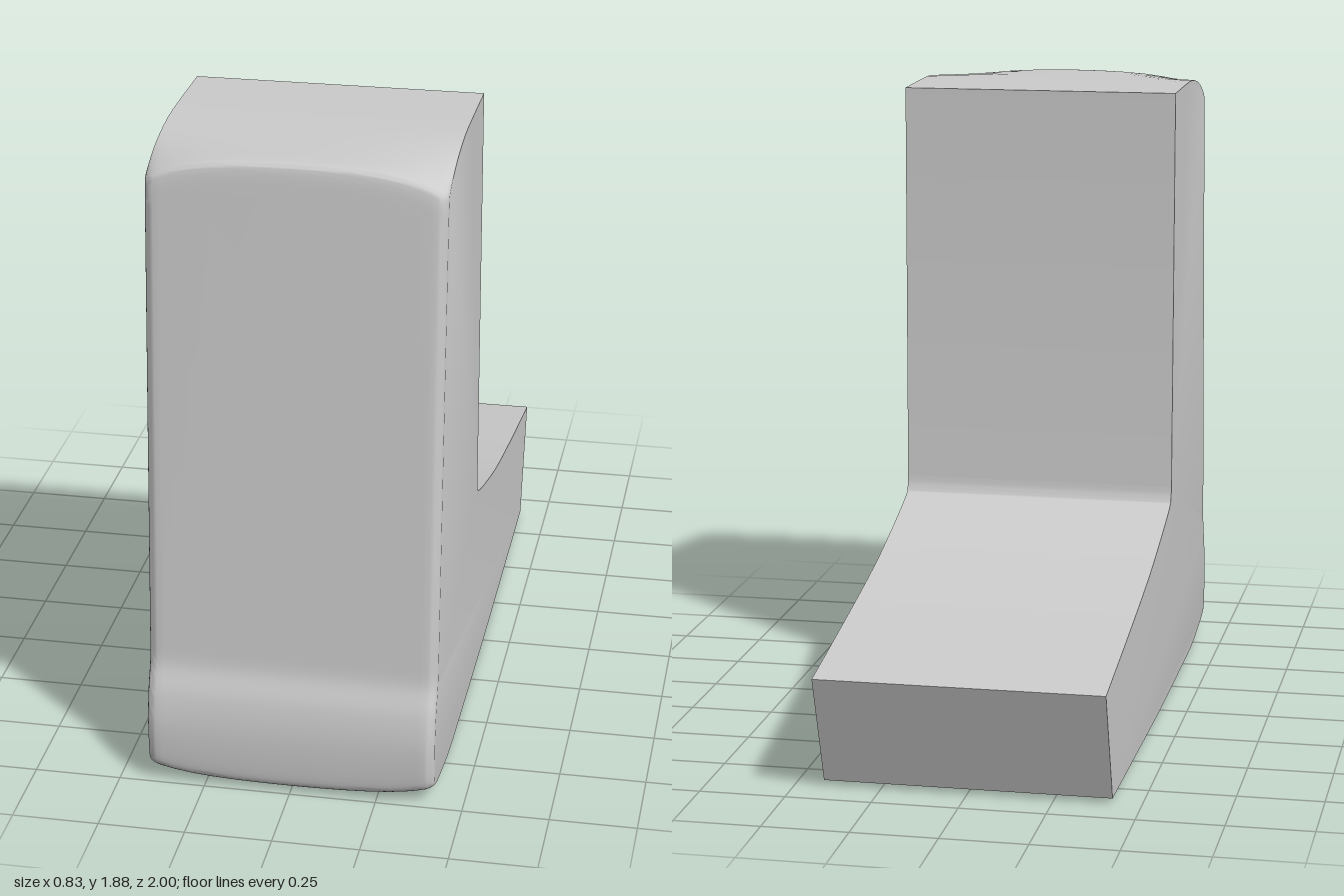
import * as THREE from 'three';
import { toCreasedNormals } from 'three/addons/utils/BufferGeometryUtils.js';

const V = (z, y) => new THREE.Vector2(z, y);

// Side outline in (z, y), counter-clockwise from the lower tip of the tail
function sideOutline() {
  const path = new THREE.Path();
  path.moveTo(-0.88, 0.015);
  path.splineThru([V(-0.4, 0.006), V(0, 0), V(0.4, 0.003), V(0.7, 0.007), V(0.95, 0.011)]);
  path.splineThru([V(0.985, 0.02), V(0.998, 0.06), V(1, 0.18), V(0.985, 0.28), V(0.956, 0.36), V(0.948, 0.43)]);
  path.lineTo(0.869, 1.78);
  path.splineThru([V(0.864, 1.84), V(0.855, 1.867), V(0.825, 1.873)]);
  path.splineThru([V(0.5, 1.878), V(0.2, 1.874)]);
  path.lineTo(0.194, 0.66);
  path.splineThru([V(0.187, 0.625), V(0.16, 0.6), V(0, 0.55), V(-0.25, 0.485), V(-0.6, 0.418), V(-1, 0.35)]);
  path.lineTo(-0.88, 0.015);
  const points = path.getPoints(4);
  points.pop();
  return points;
}

// Front corners curve in: the top dips, the sole rises and the front edge rounds off
function shapePoint(p, x) {
  const s = Math.min(1, Math.abs(x) / 0.417);
  const edge = Math.max(0, (s - 0.93) / 0.07);
  const bow = 0.4 * s ** 2 + 0.6 * s ** 5;
  const ramp = THREE.MathUtils.clamp((p.x - 0.5) / 0.36, 0, 1) ** 2;
  const heel = THREE.MathUtils.clamp((p.x - 0.6) / 0.38, 0, 1) ** 2;
  const high = THREE.MathUtils.smoothstep(p.y, 1.4, 1.87);
  const low = 1 - THREE.MathUtils.smoothstep(p.y, 0, 0.3);
  const front = THREE.MathUtils.smoothstep(p.x, 0.7, 0.86);
  const y = p.y - 0.07 * bow * ramp * high + 0.04 * bow * heel * low;
  const z = p.x - front * 0.025 * (1 - Math.sqrt(1 - edge * edge));
  return [x, y, z];
}

function bodyGeometry() {
  const outline = sideOutline();
  const n = outline.length;
  const half = [0.08, 0.16, 0.23, 0.29, 0.34, 0.37, 0.39, 0.4, 0.408, 0.414, 0.417];
  const layers = [...half.map((x) => -x).reverse(), 0, ...half];
  const positions = [];
  const index = [];
  for (const x of layers) for (const p of outline) positions.push(...shapePoint(p, x));

  // Walls between neighbouring cross-sections
  for (let j = 0; j < layers.length - 1; j++) {
    for (let i = 0; i < n; i++) {
      const k = (i + 1) % n;
      const a = j * n + i, b = j * n + k, c = a + n, d = b + n;
      index.push(a, c, b, b, c, d);
    }
  }

  // Flat sides
  const last = (layers.length - 1) * n;
  for (const [a, b, c] of THREE.ShapeUtils.triangulateShape(outline, [])) {
    index.push(a, b, c, last + a, last + c, last + b);
  }

  const geometry = new THREE.BufferGeometry();
  geometry.setAttribute('position', new THREE.Float32BufferAttribute(positions, 3));
  geometry.setIndex(index);
  return toCreasedNormals(geometry, 0.7);
}

export function createModel() {
  const group = new THREE.Group();
  group.name = 'model';
  const body = new THREE.Mesh(bodyGeometry(), new THREE.MeshStandardMaterial({ color: 0xcccccc }));
  body.name = 'body';
  group.add(body);
  return group;
}
